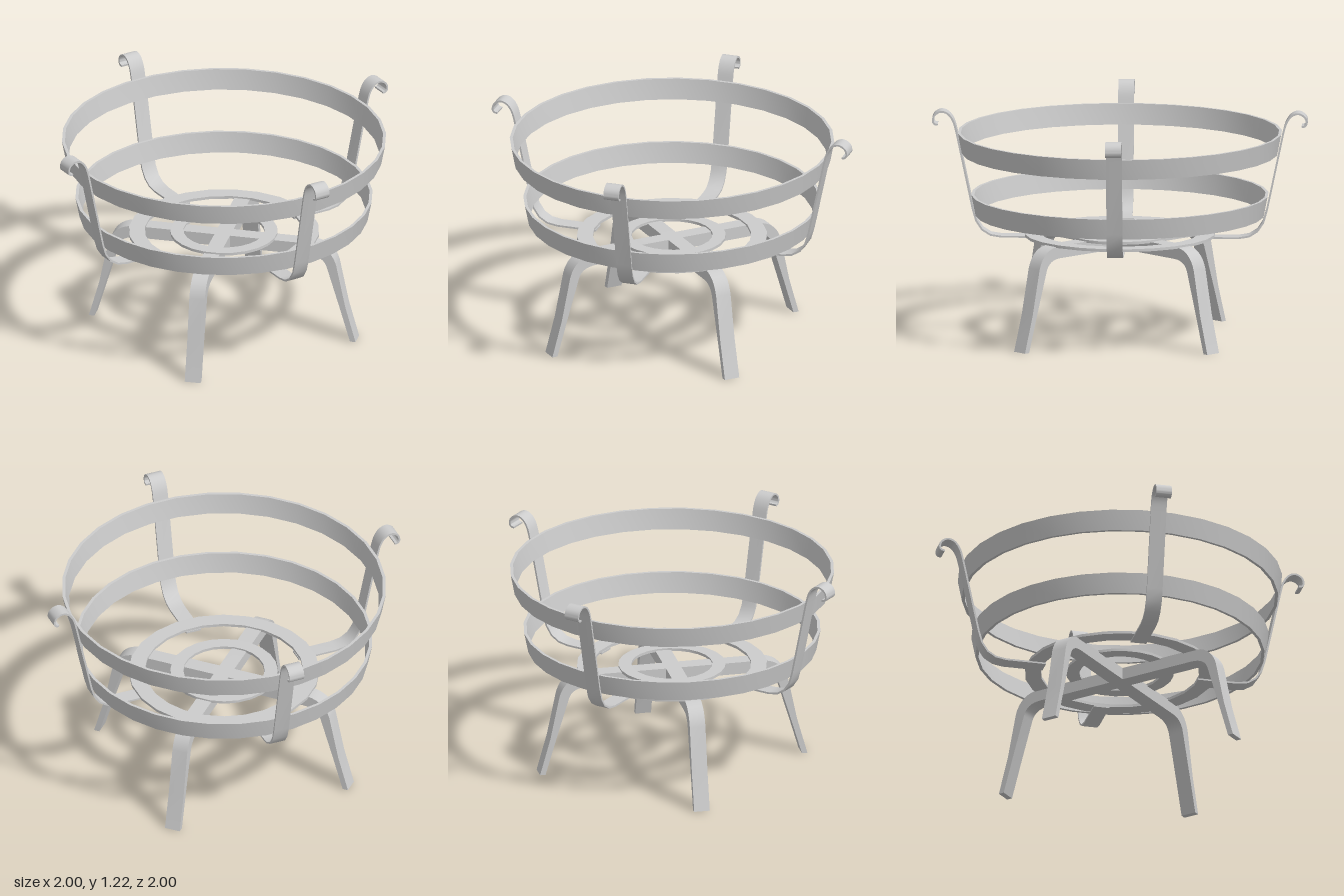
import * as THREE from 'three';
import { toCreasedNormals } from 'three/addons/utils/BufferGeometryUtils.js';

const metal = new THREE.MeshStandardMaterial({ color: 0xcccccc });
const BAR_WIDTH = 0.085;

function addMesh(parent, name, geometry, angle = 0) {
  const mesh = new THREE.Mesh(geometry, metal);
  mesh.name = name;
  mesh.rotation.y = angle;
  parent.add(mesh);
}

// Flat bar: an outline in the radius/height plane, extruded to the bar width
function barGeometry(shape) {
  const geo = new THREE.ExtrudeGeometry(shape, { depth: BAR_WIDTH, bevelEnabled: false, curveSegments: 8 });
  geo.translate(0, 0, -BAR_WIDTH / 2);
  return toCreasedNormals(geo, 0.6);
}

// Outline of constant thickness around an open path
function thicken(points, thickness) {
  const sideA = [], sideB = [];
  points.forEach((p, i) => {
    const a = points[Math.max(i - 1, 0)], b = points[Math.min(i + 1, points.length - 1)];
    const d = b.clone().sub(a).normalize().multiplyScalar(thickness / 2);
    sideA.push(new THREE.Vector2(p.x + d.y, p.y - d.x));
    sideB.push(new THREE.Vector2(p.x - d.y, p.y + d.x));
  });
  return new THREE.Shape([...sideA, ...sideB.reverse()]);
}

// Ring with a four-sided section: bottom and top outer radius, heights, wall thickness
function ringGeometry(rBottom, rTop, yBottom, yTop, wall, segments) {
  const section = [
    [rBottom, yBottom], [rTop, yTop], [rTop - wall, yTop], [rBottom - wall, yBottom], [rBottom, yBottom],
  ].map(([x, y]) => new THREE.Vector2(x, y));
  return toCreasedNormals(new THREE.LatheGeometry(section, segments, Math.PI / segments), 0.6);
}

export function createModel() {
  const model = new THREE.Group();
  model.name = 'fireBasket';

  // Flared hoops of the basket
  addMesh(model, 'upperHoop', ringGeometry(0.842, 0.863, 0.995, 1.105, 0.016, 32));
  addMesh(model, 'lowerHoop', ringGeometry(0.769, 0.791, 0.66, 0.77, 0.016, 32));

  // Flat rings of the floor grate
  addMesh(model, 'outerGrateRing', ringGeometry(0.507, 0.507, 0.545, 0.56, 0.085, 24));
  addMesh(model, 'innerGrateRing', ringGeometry(0.286, 0.286, 0.545, 0.56, 0.07, 24));

  // Four upright straps: flat foot, rounded bend, leaning upright and curled hook
  const path = new THREE.Path();
  path.moveTo(0.415, 0.541);
  path.lineTo(0.63, 0.541);
  path.bezierCurveTo(0.715, 0.541, 0.765, 0.59, 0.782, 0.69);
  path.lineTo(0.868, 1.1);
  path.splineThru([
    [0.885, 1.16], [0.913, 1.2], [0.95, 1.213], [0.984, 1.195],
    [0.994, 1.165], [0.986, 1.147], [0.968, 1.143],
  ].map(([x, y]) => new THREE.Vector2(x, y)));
  const strap = barGeometry(thicken(path.getPoints(4), 0.01));
  for (let i = 0; i < 4; i++) addMesh(model, 'strap', strap, i * Math.PI / 2);

  // Four diagonal legs meeting in a cross, tapering toward the feet
  const legShape = new THREE.Shape();
  legShape.moveTo(0, 0.485);
  legShape.lineTo(0.47, 0.485);
  legShape.quadraticCurveTo(0.555, 0.485, 0.572, 0.42);
  legShape.lineTo(0.645, 0.18);
  legShape.lineTo(0.698, 0);
  legShape.lineTo(0.728, 0);
  legShape.lineTo(0.672, 0.2);
  legShape.lineTo(0.622, 0.44);
  legShape.quadraticCurveTo(0.59, 0.551, 0.47, 0.551);
  legShape.lineTo(0, 0.551);
  const leg = barGeometry(legShape);
  for (let i = 0; i < 4; i++) addMesh(model, 'leg', leg, Math.PI / 4 + i * Math.PI / 2);

  return model;
}
